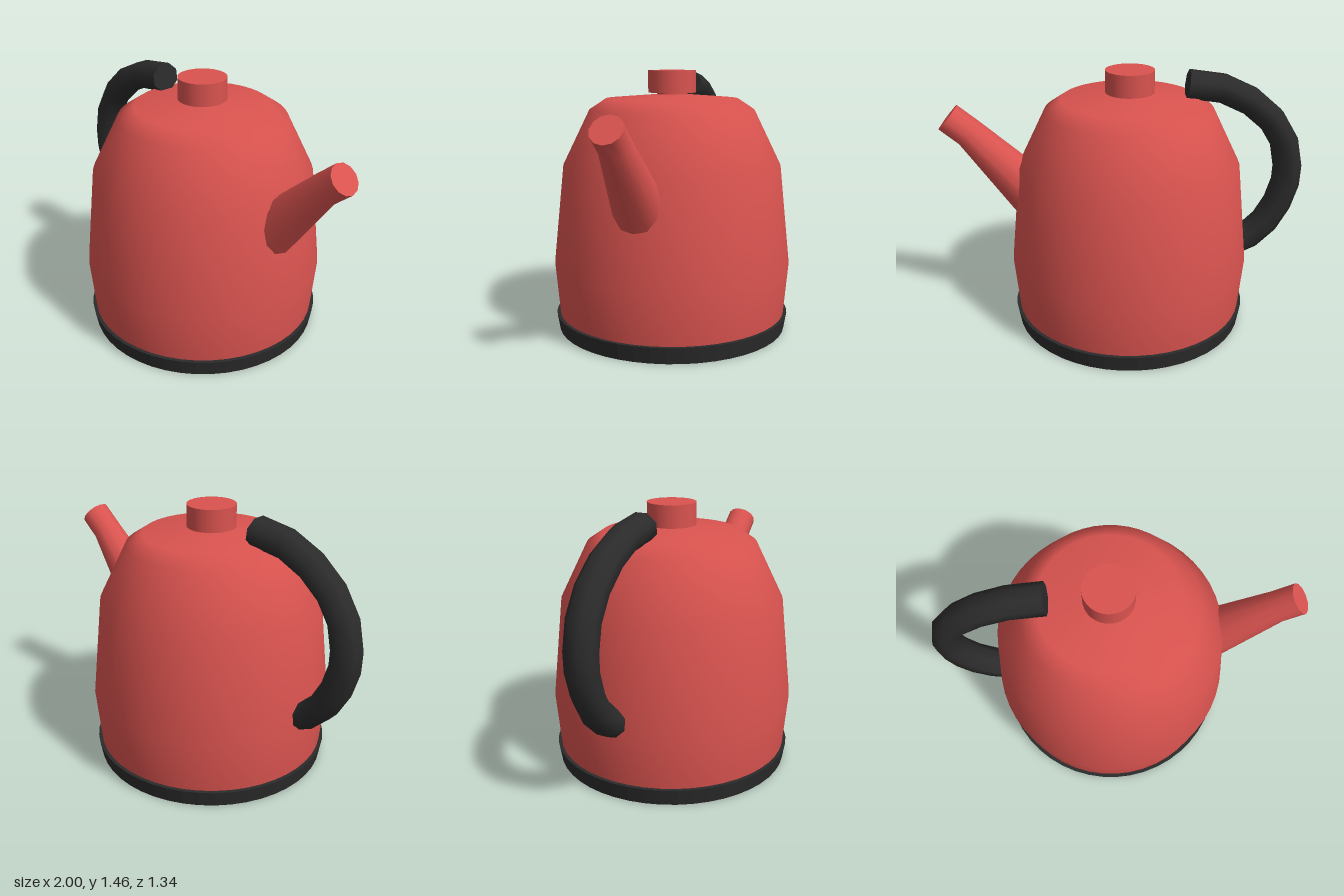
import * as THREE from 'three';

const enamelRed = new THREE.MeshStandardMaterial({ color: 0xd9534f });
enamelRed.name = 'enamelRed';
const rubberBlack = new THREE.MeshStandardMaterial({ color: 0x2b2b2b, side: THREE.DoubleSide });
rubberBlack.name = 'rubberBlack';

const AXIS_X = -0.03; // the pot's own centre line

function addPart(group, name, geometry, material, x = 0, y = 0) {
  const mesh = new THREE.Mesh(geometry, material);
  mesh.name = name;
  mesh.position.set(x, y, 0);
  group.add(mesh);
  return mesh;
}

const lathe = (points) =>
  new THREE.LatheGeometry(points.map(([r, y]) => new THREE.Vector2(r, y)), 48);

// Closed tube with flat caps through rings [x, y, radius] lying in the z = 0 plane
function loft(rings, sides, phase, zScale) {
  const pos = [], idx = [];
  const last = rings.length - 1;
  const addRing = (i) => {
    const [x, y, r] = rings[i];
    const a = rings[Math.max(i - 1, 0)], b = rings[Math.min(i + 1, last)];
    const t = new THREE.Vector2(b[0] - a[0], b[1] - a[1]).normalize();
    for (let s = 0; s < sides; s++) {
      const ang = ((s + phase) / sides) * Math.PI * 2;
      const u = Math.cos(ang) * r;
      pos.push(x + t.y * u, y - t.x * u, -Math.sin(ang) * r * zScale);
    }
  };
  rings.forEach((_, i) => addRing(i));
  for (let i = 0; i < last; i++) {
    for (let s = 0; s < sides; s++) {
      const a = i * sides + s, b = i * sides + ((s + 1) % sides);
      idx.push(a, b, a + sides, b, b + sides, a + sides);
    }
  }
  // caps use their own vertices so the rims stay sharp
  for (const end of [0, last]) {
    const base = pos.length / 3;
    addRing(end);
    for (let s = 1; s < sides - 1; s++) {
      if (end) idx.push(base, base + s, base + s + 1);
      else idx.push(base, base + s + 1, base + s);
    }
  }
  const geo = new THREE.BufferGeometry();
  geo.setAttribute('position', new THREE.Float32BufferAttribute(pos, 3));
  geo.setIndex(idx);
  geo.computeVertexNormals();
  return geo;
}

export function createModel() {
  const kettle = new THREE.Group();
  kettle.name = 'kettle';

  // Body shell with its shoulder and shallow lid
  addPart(kettle, 'body', lathe([
    [0.64, 0.05], [0.645, 0.09], [0.67, 0.385], [0.61, 0.935],
    [0.46, 1.24], [0.37, 1.3], [0, 1.33],
  ]), enamelRed, AXIS_X);

  // Recessed underside
  const floor = new THREE.CircleGeometry(0.645, 48).rotateX(Math.PI / 2);
  addPart(kettle, 'underside', floor, enamelRed, AXIS_X, 0.05);

  // Base band: inner wall, outer flare, top ledge
  const band = lathe([
    [0.643, 0.05], [0.645, 0], [0.65, 0], [0.665, 0.09], [0.64, 0.09],
  ]).toNonIndexed();
  band.computeVertexNormals();
  addPart(kettle, 'baseBand', band, rubberBlack, AXIS_X);

  // Lid knob on a short stem
  addPart(kettle, 'knobStem', new THREE.CylinderGeometry(0.085, 0.085, 0.03, 32), enamelRed, AXIS_X - 0.003, 1.325);
  addPart(kettle, 'lidKnob', new THREE.CylinderGeometry(0.133, 0.133, 0.122, 32), enamelRed, AXIS_X - 0.003, 1.394);

  // Tapered spout with a slight bend
  addPart(kettle, 'spout', loft([
    [0.512, 0.76, 0.14], [0.838, 1.12, 0.084], [0.945, 1.21, 0.083],
  ], 12, 0, 1), enamelRed);

  // Curved handle
  const handlePath = [
    [-0.345, 1.372], [-0.535, 1.345], [-0.69, 1.272], [-0.815, 1.165],
    [-0.895, 1.035], [-0.925, 0.89], [-0.922, 0.79], [-0.885, 0.665],
    [-0.82, 0.548], [-0.73, 0.46], [-0.62, 0.41],
  ].map(([x, y]) => [x, y, 0.08]);
  addPart(kettle, 'handle', loft(handlePath, 8, 0.5, 1.1), rubberBlack);

  return kettle;
}
